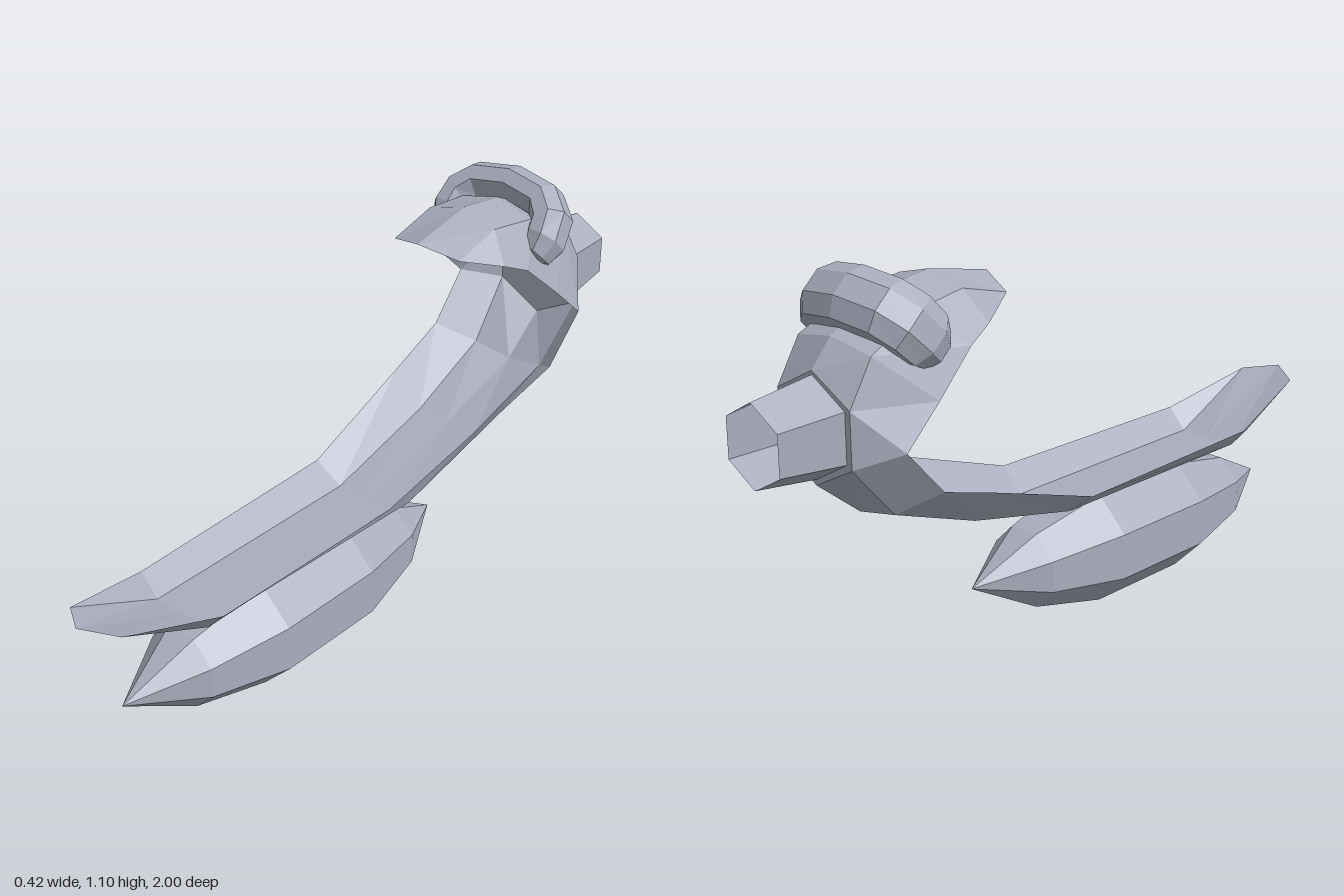
import * as THREE from 'three';

const grey = new THREE.MeshStandardMaterial({ color: 0xa9adbd, flatShading: true, side: THREE.DoubleSide });
grey.name = 'pale grey';

// Skin a surface over rows of points that all have the same length
function loft(rows, closed = false) {
  const n = rows[0].length, index = [];
  for (let i = 0; i < rows.length - 1; i++) {
    for (let j = 0; j < (closed ? n : n - 1); j++) {
      const k = (j + 1) % n, a = i * n + j, b = i * n + k;
      index.push(a, b, a + n, b, b + n, a + n);
    }
  }
  const geo = new THREE.BufferGeometry();
  geo.setAttribute('position', new THREE.Float32BufferAttribute(rows.flat(2), 3));
  geo.setIndex(index);
  const flat = geo.toNonIndexed();
  flat.computeVertexNormals();
  return flat;
}

export function createModel() {
  const group = new THREE.Group();
  const add = (name, geo) => {
    const mesh = new THREE.Mesh(geo, grey);
    mesh.name = name;
    group.add(mesh);
    return mesh;
  };

  // Curved trough: centre line, floor edge and rim, from the front tip round to the hood lip
  const half = [
    [[0, 0.465, 1], [0.09, 0.45, 0.94], [0.09, 0.45, 0.94]],
    [[0, 0.32, 0.66], [0.09, 0.32, 0.66], [0.145, 0.38, 0.66]],
    [[0, 0.32, -0.04], [0.09, 0.32, -0.04], [0.165, 0.38, -0.03]],
    [[0, 0.40, -0.40], [0.10, 0.405, -0.40], [0.188, 0.505, -0.40]],
    [[0, 0.49, -0.69], [0.115, 0.51, -0.68], [0.205, 0.57, -0.60]],
    [[0, 0.595, -0.82], [0.13, 0.665, -0.82], [0.21, 0.70, -0.72]],
    [[0, 0.88, -0.82], [0.13, 0.81, -0.82], [0.21, 0.70, -0.72]],
    [[0, 0.95, -0.76], [0.13, 0.925, -0.75], [0.205, 0.80, -0.61]],
    [[0, 1.03, -0.60], [0.12, 1.0, -0.60], [0.19, 0.905, -0.49]],
    [[0, 1.05, -0.45], [0.11, 1.02, -0.44], [0.17, 0.94, -0.41]],
    [[0, 1.01, -0.25], [0.11, 0.98, -0.29], [0.11, 0.98, -0.29]],
  ];
  const rows = half.map(([c, a, r]) => {
    const flip = ([x, y, z]) => [-x, y, z];
    return [flip(r), flip(a), c, a, r];
  });
  add('troughAndHood', loft(rows));

  // Tilted arched collar over the hood: x, height along tilt, outward direction, size
  const side = [
    [0, 0, 0, 1, 1], [0.11, -0.02, 0.35, 0.94, 1], [0.152, -0.065, 0.8, 0.6, 1],
    [0.16, -0.12, 1, 0, 0.95], [0.155, -0.165, 0.97, -0.25, 0.7], [0.15, -0.185, 0.95, -0.3, 0],
  ];
  const arch = [...side.slice(1).reverse().map(([x, v, a, b, s]) => [-x, v, -a, b, s]), ...side];
  const collar = arch.map(([x, v, a, b, s]) => {
    const ring = [];
    for (let i = 0; i < 8; i++) {
      const t = (i + 0.5) * Math.PI / 4;
      const w = 0.083 * s * Math.cos(t), h = 0.055 * s * Math.sin(t);
      const up = v + h * b;
      ring.push([x + h * a, 1.03 + 0.73 * up + 0.68 * w, -0.69 - 0.68 * up + 0.73 * w]);
    }
    return ring;
  });
  add('collar', loft(collar, true));

  // Open six-sided pipe at the back
  const pipe = new THREE.CylinderGeometry(0.13, 0.107, 0.18, 6, 1, true);
  pipe.rotateX(Math.PI / 2);
  pipe.rotateZ(Math.PI);
  add('rearPipe', pipe).position.set(0, 0.74, -0.91);

  // Eight-sided spindle float below
  const profile = [[0, -0.32], [0.115, -0.12], [0.17, 0.11], [0.17, 0.44], [0.115, 0.67], [0, 0.88]]
    .map(([r, z]) => new THREE.Vector2(r, z));
  const spindle = new THREE.LatheGeometry(profile, 8, Math.PI / 8);
  spindle.rotateX(Math.PI / 2);
  add('lowerFloat', spindle).position.y = 0.158;

  return group;
}
